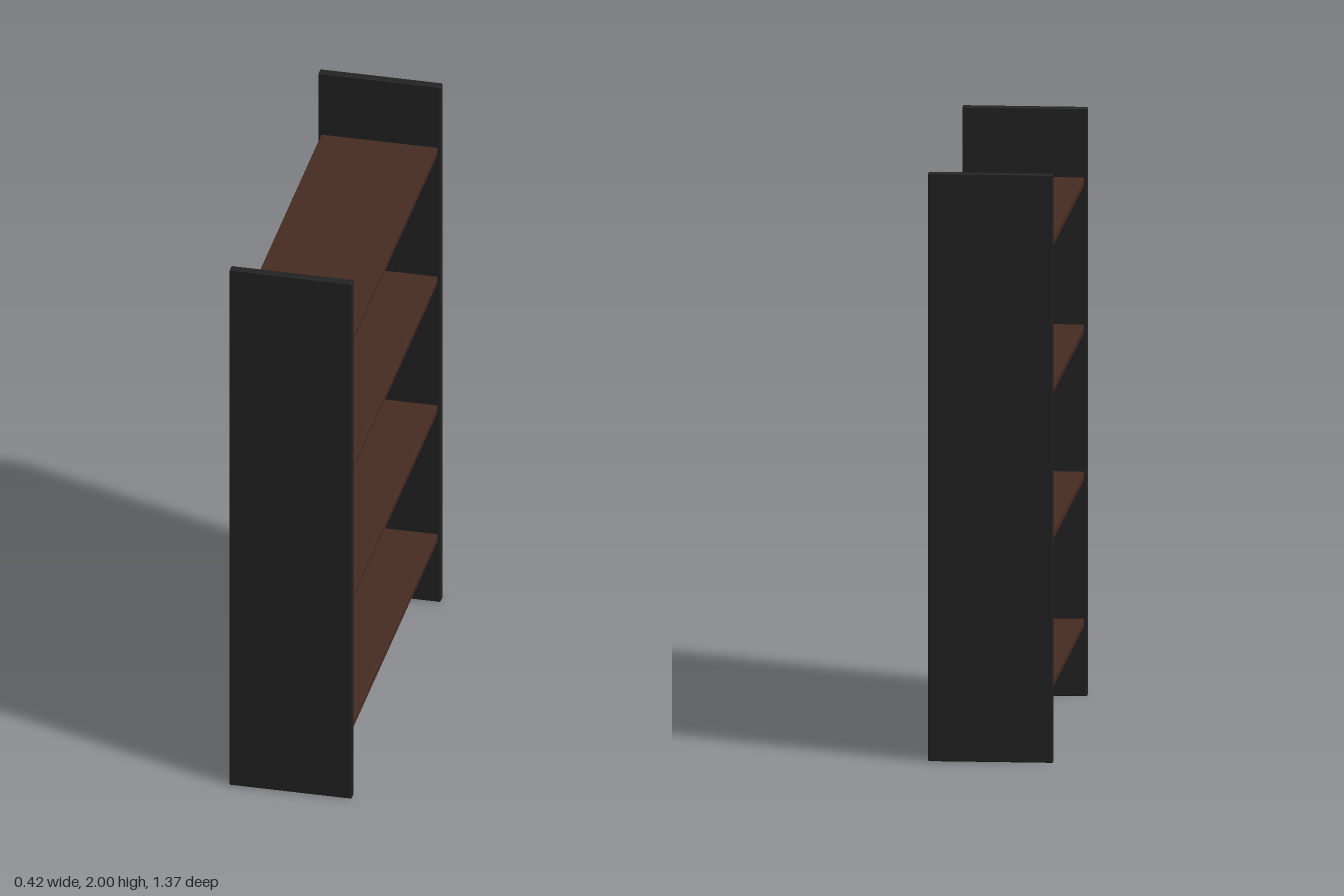
import * as THREE from 'three';
import { RoundedBoxGeometry } from 'three/addons/geometries/RoundedBoxGeometry.js';

export function createModel() {
  const group = new THREE.Group();
  group.name = 'shelfUnit';

  const black = new THREE.MeshStandardMaterial({ name: 'black panel', color: 0x222222 });
  const brown = new THREE.MeshStandardMaterial({ name: 'dark brown wood', color: 0x472c22 });

  // Board with finely eased edges
  function board(name, size, position, material) {
    const mesh = new THREE.Mesh(new RoundedBoxGeometry(...size, 2, 0.004), material);
    mesh.name = name;
    mesh.position.set(...position);
    group.add(mesh);
  }

  // Upright end panels
  board('frontPanel', [0.42, 2, 0.03], [0, 1, 0.67], black);
  board('backPanel', [0.42, 2, 0.03], [0, 1, -0.67], black);

  // Four evenly spaced shelves between the panels
  for (let i = 0; i < 4; i++) {
    board(`shelf${i + 1}`, [0.4, 0.03, 1.31], [0, 0.25 + i * 0.5, 0], brown);
  }

  return group;
}
